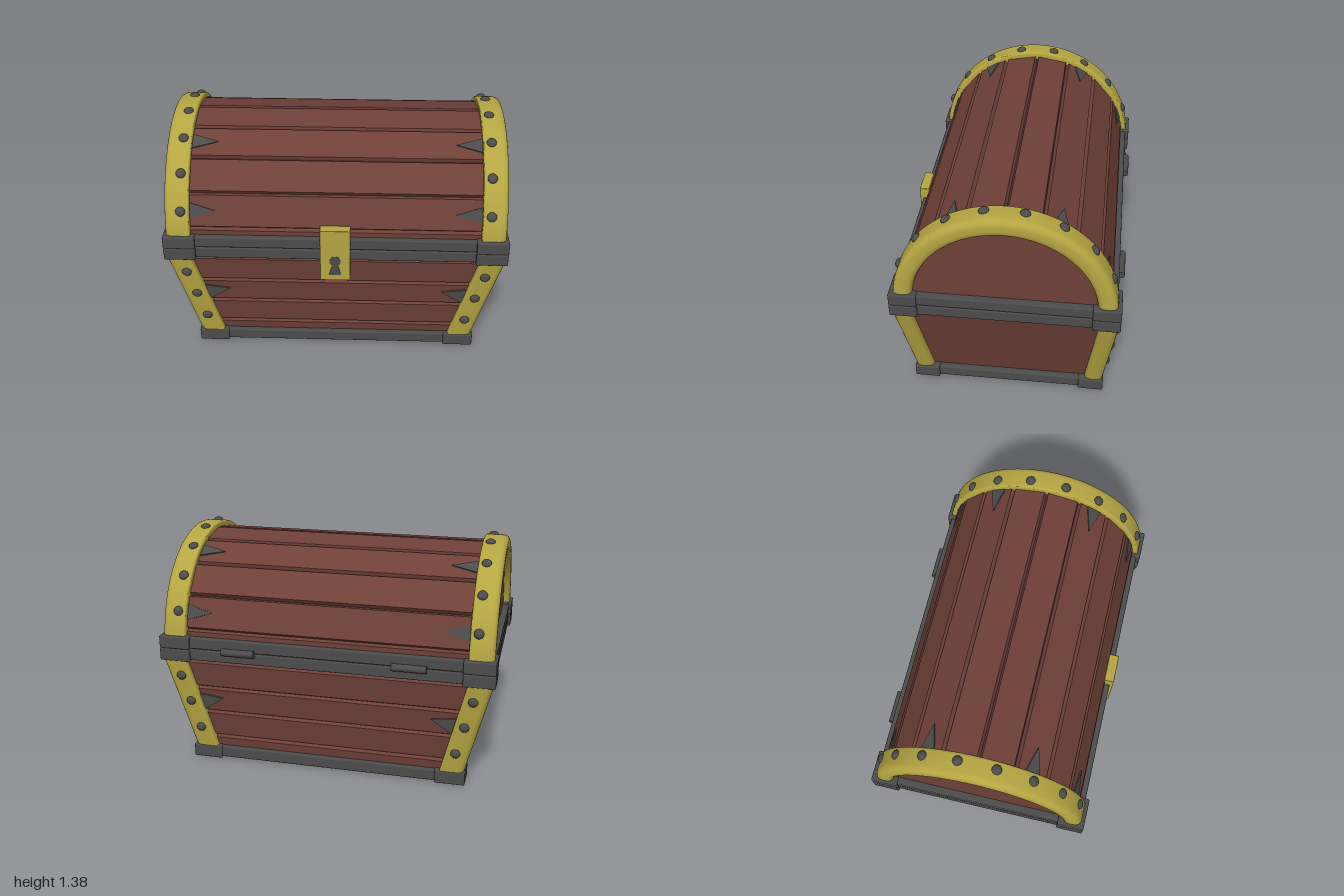
import * as THREE from 'three';
import { toCreasedNormals } from 'three/addons/utils/BufferGeometryUtils.js';
import { RoundedBoxGeometry } from 'three/addons/geometries/RoundedBoxGeometry.js';

const material = (name, color) => {
  const m = new THREE.MeshStandardMaterial({ color });
  m.name = name;
  return m;
};

const ARCH_Y = 0.74;                       // centre height of the round lid
const SLOPE_X = 0.26, SLOPE_Z = 0.12;      // outward lean of the body walls
const wallX = (y) => 0.775 + SLOPE_X * y;
const wallZ = (y) => 0.525 + SLOPE_Z * y;
const rad = THREE.MathUtils.degToRad;

export function createModel() {
  const wood = material('brownWood', 0x6e4038);
  const brass = material('brass', 0xb5a642);
  const iron = material('darkIron', 0x4c4c4c);

  const chest = new THREE.Group();
  chest.name = 'treasureChest';

  const add = (name, geometry, mat, parent = chest) => {
    const mesh = new THREE.Mesh(geometry, mat);
    mesh.name = name;
    parent.add(mesh);
    return mesh;
  };

  // Box given by its limits on each axis
  const block = (name, mat, [x0, x1], [y0, y1], [z0, z1], r = 0.008) => {
    const geo = new RoundedBoxGeometry(Math.abs(x1 - x0), y1 - y0, Math.abs(z1 - z0), 2, r);
    add(name, geo, mat).position.set((x0 + x1) / 2, (y0 + y1) / 2, (z0 + z1) / 2);
  };

  // Prism along x from a (z, y) outline, with its width set by height
  const prism = (outline, halfWidth) => {
    const geo = new THREE.ExtrudeGeometry(new THREE.Shape(outline), { depth: 2, bevelEnabled: false });
    geo.translate(0, 0, -1).rotateY(Math.PI / 2);
    const p = geo.attributes.position;
    for (let i = 0; i < p.count; i++) p.setX(i, p.getX(i) * halfWidth(p.getY(i)));
    geo.computeVertexNormals();
    return geo;
  };

  // Body with grooved front and back planks
  const side = [[wallZ(0.01), 0.01]];
  for (const y of [0.14, 0.31, 0.475, 0.65]) {
    side.push([wallZ(y - 0.012), y - 0.012], [wallZ(y) - 0.022, y], [wallZ(y + 0.012), y + 0.012]);
  }
  side.push([wallZ(0.735), 0.735]);
  const bodyOutline = [
    ...side.map(([z, y]) => new THREE.Vector2(z, y)),
    ...side.slice().reverse().map(([z, y]) => new THREE.Vector2(-z, y)),
  ];
  add('bodyPlanks', prism(bodyOutline, wallX), wood);

  // Round lid of flat planks with grooves between them
  const polar = (deg, r) => new THREE.Vector2(Math.sin(rad(deg)) * r, ARCH_Y + Math.cos(rad(deg)) * r);
  const lidOutline = [polar(90, 0.593)];
  for (let a = 80; a >= -80; a -= 20) {
    lidOutline.push(polar(a + 1.2, 0.6), polar(a, 0.576), polar(a - 1.2, 0.6));
  }
  lidOutline.push(polar(-90, 0.593));
  add('lidPlanks', prism(lidOutline, () => 0.945), wood);

  // Brass strap section: a is depth, b runs outward along x; outer edges are rounder
  const A = 0.11, B = 0.145, R = 0.045, S = 0.014;
  const section = (map) => {
    const s = new THREE.Shape();
    const go = (a, b) => s.lineTo(...map(a, b));
    const bend = (ca, cb, a, b) => s.quadraticCurveTo(...map(ca, cb), ...map(a, b));
    s.moveTo(...map(0, 0));
    go(A - S, 0); bend(A, 0, A, S);
    go(A, B - R); bend(A, B, A - R, B);
    go(R, B); bend(0, B, 0, B - R);
    s.closePath();
    return s;
  };

  const rivetGeometry = new THREE.SphereGeometry(0.029, 14, 10);
  rivetGeometry.scale(1, 0.65, 1);

  const archGeometry = toCreasedNormals(
    new THREE.LatheGeometry(section((a, b) => [0.52 + a, 0.84 + b]).getPoints(6), 56, Math.PI, Math.PI)
      .rotateZ(-Math.PI / 2), 0.6);

  for (const sx of [1, -1]) {
    // Lid arch
    const arch = add('lidArch', archGeometry, brass);
    arch.position.y = ARCH_Y;
    arch.rotation.y = sx > 0 ? 0 : Math.PI;

    // Arch rivets
    for (const deg of [-70, -50, -30, -10, 10, 30, 50, 70]) {
      const rivet = add('archRivet', rivetGeometry, iron);
      const p = polar(deg, 0.63);
      rivet.position.set(sx * 0.888, p.y, p.x);
      rivet.rotation.x = rad(deg);
    }

    // Pointed plates on the lid
    const point = new THREE.Shape([[0.86, -0.053], [0.86, 0.053], [0.69, 0]]
      .map(([x, z]) => new THREE.Vector2(sx * x, z)));
    const pointGeometry = new THREE.ExtrudeGeometry(point, { depth: 0.009, bevelEnabled: false })
      .rotateX(-Math.PI / 2).translate(0, 0.591, 0);
    for (const deg of [-70, -30, 30, 70]) {
      const plate = add('lidPoint', pointGeometry, iron);
      plate.position.y = ARCH_Y;
      plate.rotation.x = rad(deg);
    }

    for (const sz of [1, -1]) {
      // Leaning corner strap
      const geo = new THREE.ExtrudeGeometry(
        section((a, b) => [sx * (0.69 + b), -sz * (0.46 + a)]),
        { depth: 0.61, bevelEnabled: false, curveSegments: 6 }).rotateX(-Math.PI / 2);
      const p = geo.attributes.position;
      for (let i = 0; i < p.count; i++) {
        const h = p.getY(i);
        p.setXYZ(i, p.getX(i) + sx * SLOPE_X * h, h + 0.07, p.getZ(i) + sz * SLOPE_Z * h);
      }
      add('cornerStrap', toCreasedNormals(geo, 0.6), brass);

      // Strap rivets
      for (const y of [0.21, 0.39, 0.56]) {
        const rivet = add('strapRivet', rivetGeometry, iron);
        rivet.position.set(sx * (0.75 + SLOPE_X * (y - 0.07)), y, sz * (0.57 + SLOPE_Z * (y - 0.07)));
        rivet.rotation.x = sz * (Math.PI / 2 + Math.atan(SLOPE_Z));
      }

      // Iron corner caps
      block('baseCorner', iron, [sx * 0.665, sx * 0.845], [0, 0.08], [sz * 0.425, sz * 0.575]);
      block('bodyRimCorner', iron, [sx * 0.815, sx], [0.655, 0.731], [sz * 0.49, sz * 0.648]);
      block('lidRimCorner', iron, [sx * 0.815, sx], [0.732, 0.809], [sz * 0.49, sz * 0.648]);
    }

    // Side bars of the base and rims
    block('baseSideBar', iron, [sx * 0.765, sx * 0.832], [0.007, 0.076], [-0.5, 0.5]);
    block('bodyRimSideBar', iron, [sx * 0.9, sx * 0.985], [0.661, 0.73], [-0.55, 0.55]);
    block('lidRimSideBar', iron, [sx * 0.9, sx * 0.985], [0.734, 0.803], [-0.55, 0.55]);

    // Hinge barrel at the back
    const hinge = add('hinge', new THREE.CylinderGeometry(0.022, 0.022, 0.2, 16), iron);
    hinge.rotation.z = Math.PI / 2;
    hinge.position.set(sx * 0.51, 0.733, -0.636);
  }

  for (const sz of [1, -1]) {
    // Long bars of the base and rims
    block('baseLongBar', iron, [-0.75, 0.75], [0.007, 0.076], [sz * 0.515, sz * 0.563]);
    block('bodyRimLongBar', iron, [-0.9, 0.9], [0.661, 0.73], [sz * 0.54, sz * 0.625]);
    block('lidRimLongBar', iron, [-0.9, 0.9], [0.734, 0.803], [sz * 0.54, sz * 0.625]);

    // Pointed plates on the body walls
    const wall = new THREE.Group();
    wall.name = 'bodyPoints';
    wall.rotation.y = sz > 0 ? 0 : Math.PI;
    chest.add(wall);
    for (const sx of [1, -1]) {
      const shape = new THREE.Shape([[0.8, 0.437], [0.635, 0.415], [0.755, 0.33]]
        .map(([x, y]) => new THREE.Vector2(sx * x, y)));
      const plate = add('bodyPoint',
        new THREE.ExtrudeGeometry(shape, { depth: 0.009, bevelEnabled: false }), iron, wall);
      plate.position.z = wallZ(0) - 0.001;
      plate.rotation.x = Math.atan(SLOPE_Z);
    }
  }

  // Lock plate with keyhole
  block('lockPlate', brass, [-0.088, 0.088], [0.53, 0.873], [0.585, 0.644], 0.004);
  const hole = new THREE.Shape();
  hole.moveTo(-0.036, 0.57);
  hole.lineTo(0.036, 0.57);
  hole.lineTo(0.017, 0.638);
  hole.absarc(0, 0.665, 0.033, -1, Math.PI + 1, false);
  hole.closePath();
  add('keyhole', new THREE.ExtrudeGeometry(hole, { depth: 0.004, bevelEnabled: false }), iron)
    .position.z = 0.642;

  chest.position.z = 0.004;
  const model = new THREE.Group();
  model.name = 'model';
  model.add(chest);
  return model;
}
